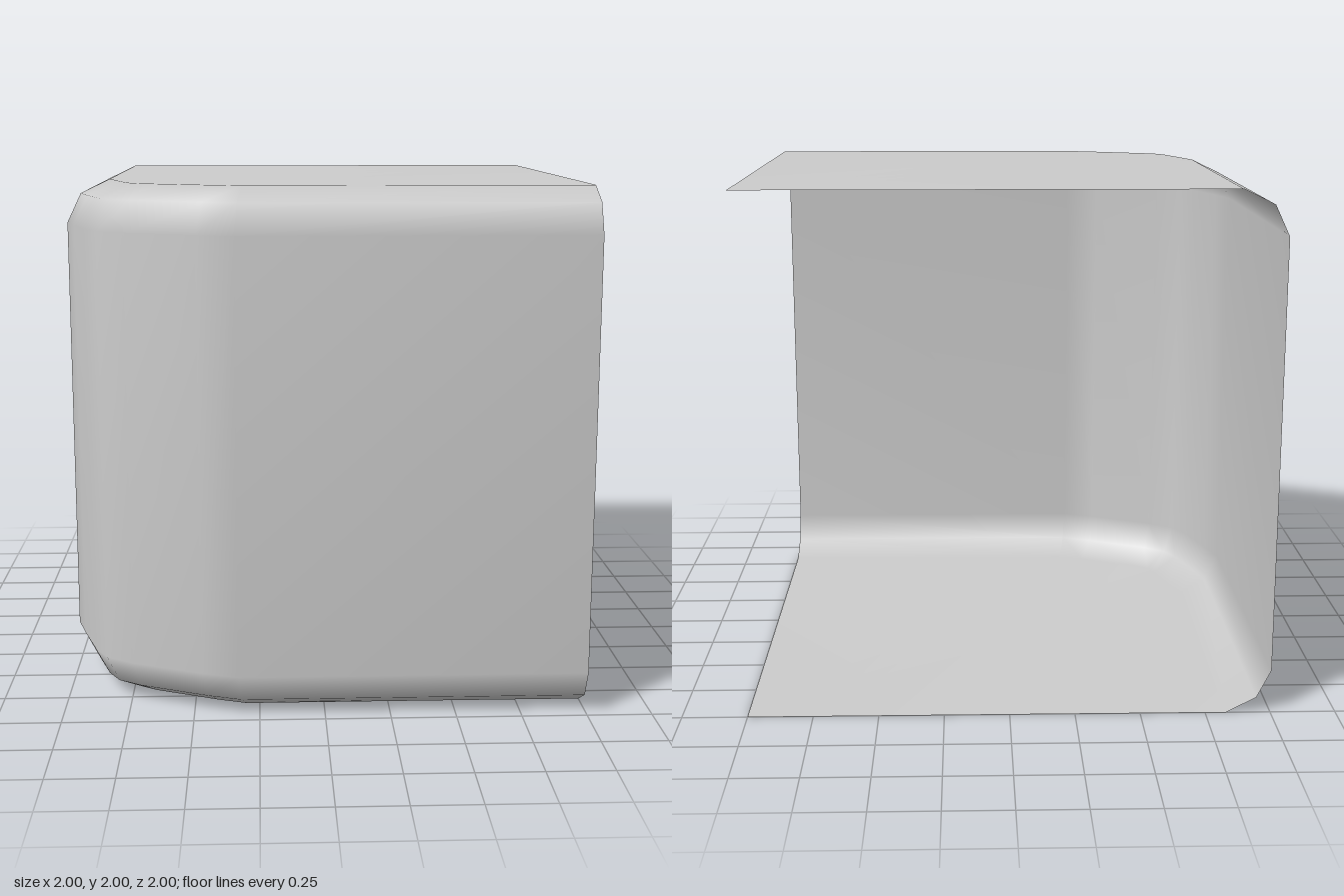
import * as THREE from 'three';

export function createModel() {
  // Plan of the upright walls: left-hand wall, rounded corner, front wall
  const plan = [[-1, -1], [-1, 0.33], [-0.96, 0.47], [-0.9, 0.66], [-0.845, 0.76],
    [-0.74, 0.83], [-0.47, 0.95], [-0.33, 1], [1, 1]].map(([x, z]) => new THREE.Vector2(x, z));

  // Vertical profile as [inset, height]: floor bevel, wall, ceiling bevel
  const profile = [[0.17, 0], [0.055, 0.06], [0, 0.17], [0, 1.83], [0.055, 1.945], [0.17, 2]];

  // Inward mitre direction at each plan point
  const inward = (a, b) => new THREE.Vector2(b.y - a.y, a.x - b.x).normalize();
  const mitres = plan.map((p, i) => {
    const n1 = inward(plan[Math.max(i - 1, 0)], plan[Math.max(i, 1)]);
    const n2 = i < plan.length - 1 ? inward(p, plan[i + 1]) : n1;
    const m = n1.clone().add(n2).normalize();
    return m.divideScalar(m.dot(n1));
  });

  const positions = [], index = [];
  const n = plan.length, rows = profile.length;
  for (const [inset, y] of profile) {
    plan.forEach((p, i) => positions.push(p.x + mitres[i].x * inset, y, p.y + mitres[i].y * inset));
  }

  // Walls and bevels
  for (let j = 0; j < rows - 1; j++) {
    for (let i = 0; i < n - 1; i++) {
      const a = j * n + i, b = a + 1, c = b + n, d = a + n;
      index.push(a, b, c, a, c, d);
    }
  }

  // Floor and ceiling sheets fan out from the open back corner
  const floorCorner = rows * n, ceilingCorner = floorCorner + 1, last = (rows - 1) * n;
  positions.push(1, 0, -1, 1, 2, -1);
  for (let i = 0; i < n - 1; i++) {
    index.push(floorCorner, i + 1, i);
    index.push(ceilingCorner, last + i, last + i + 1);
  }

  const geometry = new THREE.BufferGeometry();
  geometry.setAttribute('position', new THREE.Float32BufferAttribute(positions, 3));
  geometry.setIndex(index);
  geometry.computeVertexNormals();

  const shell = new THREE.Mesh(geometry,
    new THREE.MeshStandardMaterial({ color: 0xcccccc, side: THREE.DoubleSide }));
  shell.name = 'roundedCornerShell';

  const group = new THREE.Group();
  group.name = 'openCornerBox';
  group.add(shell);
  return group;
}
